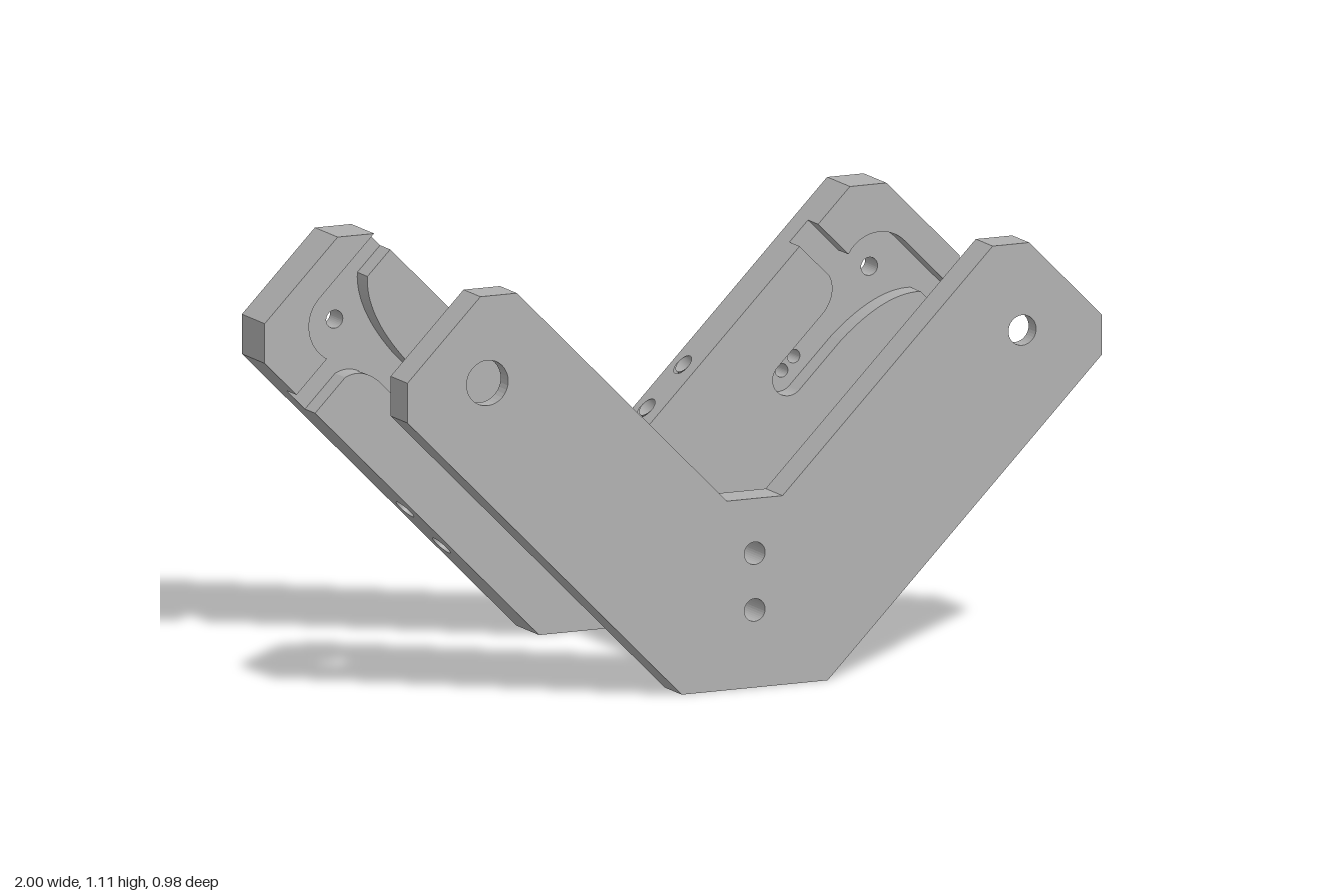
import * as THREE from 'three';

const grey = new THREE.MeshStandardMaterial({ color: 0xb0b0b0, side: THREE.DoubleSide });
grey.name = 'plain grey';

const shapeOf = pts => new THREE.Shape(pts.map(p => new THREE.Vector2(p[0], p[1])));

// circles: list of [x, y, radius]
function pierce(shape, circles) {
  for (const [x, y, r] of circles) {
    const hole = new THREE.Path();
    hole.absarc(x, y, r, 0, Math.PI * 2, true);
    shape.holes.push(hole);
  }
  return shape;
}

function add(parent, name, geometry) {
  const mesh = new THREE.Mesh(geometry, grey);
  mesh.name = name;
  parent.add(mesh);
  return mesh;
}

function slab(parent, name, shape, z0, z1) {
  const geo = new THREE.ExtrudeGeometry(shape, { depth: z1 - z0, bevelEnabled: false, curveSegments: 16 });
  add(parent, name, geo).position.z = z0;
}

// open lining of a drilled hole between two points
function bore(parent, name, from, to, r) {
  const a = new THREE.Vector3(...from), b = new THREE.Vector3(...to);
  const dir = b.clone().sub(a);
  const mesh = add(parent, name, new THREE.CylinderGeometry(r, r, dir.length(), 24, 1, true));
  mesh.position.copy(a).add(b).multiplyScalar(0.5);
  mesh.quaternion.setFromUnitVectors(new THREE.Vector3(0, 1, 0), dir.normalize());
}

// V-shaped plate outline, anticlockwise
const half = [[0.21, 0], [1, 0.79], [1, 0.895], [0.79, 1.105], [0.685, 1.105], [0.08, 0.5]];
const mirrored = pts => [...pts, ...pts.map(([x, y]) => [-x, y]).reverse()];
const boltHoles = [[0, 0.355, 0.03], [0, 0.205, 0.03]];
const HX = 0.77, HY = 0.875;              // pivot hole in each arm
const BACK = -0.49, FLOOR = -0.415, FACE = -0.355;

// Front plate: stepped holes, wide on the inner side
function frontPlate() {
  const g = new THREE.Group();
  g.name = 'frontPlate';
  const outline = () => shapeOf(mirrored(half));
  slab(g, 'outerLayer', pierce(outline(), [...boltHoles, [-HX, HY, 0.06], [HX, HY, 0.04]]), 0.445, 0.49);
  slab(g, 'innerLayer', pierce(outline(), [...boltHoles, [-HX, HY, 0.1], [HX, HY, 0.1]]), 0.39, 0.445);
  return g;
}

// End of a back plate arm, in local axes with the pivot at the origin and the arm along y
function armEnd(name, side) {
  const g = new THREE.Group();
  g.name = name;
  const w = 0.2227, c = 0.1025, cut = -0.45, slotEnd = -0.371, s = 0.045;

  // rear slab, which is also the pocket floor
  const rear = shapeOf([[-w, cut], [w, cut], [w, c], [0.1485, 0.1768], [-0.1485, 0.1768], [-w, c]]);
  pierce(rear, [[0, 0, 0.024], [0, -0.308, 0.018], [0, -0.357, 0.018]]);
  slab(g, 'pocketFloor', rear, BACK, FLOOR);

  // raised land around the slot
  const land = new THREE.Shape();
  land.moveTo(-w, cut);
  land.lineTo(w, cut);
  land.lineTo(w, 0.037);
  land.lineTo(0.13, 0.037);
  land.quadraticCurveTo(0.055, -0.03, s, -0.2);
  land.lineTo(s, slotEnd);
  land.absarc(0, slotEnd, s, 0, Math.PI, true);
  land.lineTo(-s, -0.18);
  land.quadraticCurveTo(-0.052, -0.12, -0.1, -c);
  land.lineTo(-w, -c);
  slab(g, 'slotLand', land, FLOOR, FACE);

  // raised tip, hollowed by the round pocket
  const tip = new THREE.Shape();
  tip.moveTo(w, c);
  tip.lineTo(0.1485, 0.1768);
  tip.lineTo(-0.1485, 0.1768);
  tip.lineTo(-w, c);
  tip.lineTo(-w, -0.027);
  tip.lineTo(-0.0989, -0.027);
  tip.absarc(0, 0, c, Math.PI + 0.2666, Math.PI / 2, true);
  slab(g, 'tipLand', tip, FLOOR, FACE);

  g.position.set(side * HX, HY, 0);
  g.rotation.z = -side * Math.PI / 4;
  return g;
}

// Middle of the back plate, drilled through its edges
function backCentre() {
  const g = new THREE.Group();
  g.name = 'backPlateCentre';
  const pts = mirrored([[0.21, 0], [0.6095, 0.3995], [0.2945, 0.7145], [0.08, 0.5]]);
  const t = FACE - BACK, zh = -0.43, r = 0.03;
  for (const z of [BACK, FACE]) {
    const geo = new THREE.ShapeGeometry(pierce(shapeOf(pts), boltHoles), 16);
    if (z === BACK) geo.rotateY(Math.PI);
    add(g, z === BACK ? 'rearFace' : 'frontFace', geo).position.z = z;
  }

  // edge walls; each list gives hole distances along the wall
  const wall = (p, q, holes) => {
    const d = new THREE.Vector3(q[0] - p[0], q[1] - p[1], 0), L = d.length();
    d.normalize();
    const rect = shapeOf([[0, 0], [L, 0], [L, t], [0, t]]);
    pierce(rect, holes.map(h => [h, zh - BACK, r]));
    const up = new THREE.Vector3(0, 0, 1);
    const m = new THREE.Matrix4().makeBasis(d, up, d.clone().cross(up)).setPosition(p[0], p[1], BACK);
    add(g, 'edgeWall', new THREE.ShapeGeometry(rect, 16).applyMatrix4(m));
  };
  const k = Math.SQRT2;
  wall([-0.21, 0], [0.21, 0], [0.21]);
  wall([0.08, 0.5], [-0.08, 0.5], [0.08]);
  wall([0.21, 0], [0.6095, 0.3995], [0.245 * k, 0.35 * k]);
  wall([-0.6095, 0.3995], [-0.21, 0], [0.0495 * k, 0.1545 * k]);
  wall([0.2945, 0.7145], [0.08, 0.5], [0.0545 * k, 0.1595 * k]);
  wall([-0.08, 0.5], [-0.2945, 0.7145], [0.055 * k, 0.16 * k]);

  // hole linings
  bore(g, 'verticalHole', [0, 0, zh], [0, 0.5, zh], r);
  for (const [x, y] of boltHoles) bore(g, 'boltHole', [x, y, BACK], [x, y, FACE], r);
  for (const side of [-1, 1])
    for (const y of [0.245, 0.35])
      bore(g, 'edgeHole', [side * (y + 0.21), y, zh], [side * (y - 0.105), y + 0.315, zh], r);
  return g;
}

export function createModel() {
  const model = new THREE.Group();
  model.name = 'vBracket';
  model.add(frontPlate(), backCentre(), armEnd('backArmLeft', 1), armEnd('backArmRight', -1));

  // Chamfered spacer bar joining the plates
  const bar = shapeOf(mirrored([[0.0275, 0.13], [0.0725, 0.175], [0.0725, 0.385], [0.0275, 0.43]]));
  slab(model, 'spacerBar', pierce(bar, boltHoles), FACE, 0.39);
  return model;
}
